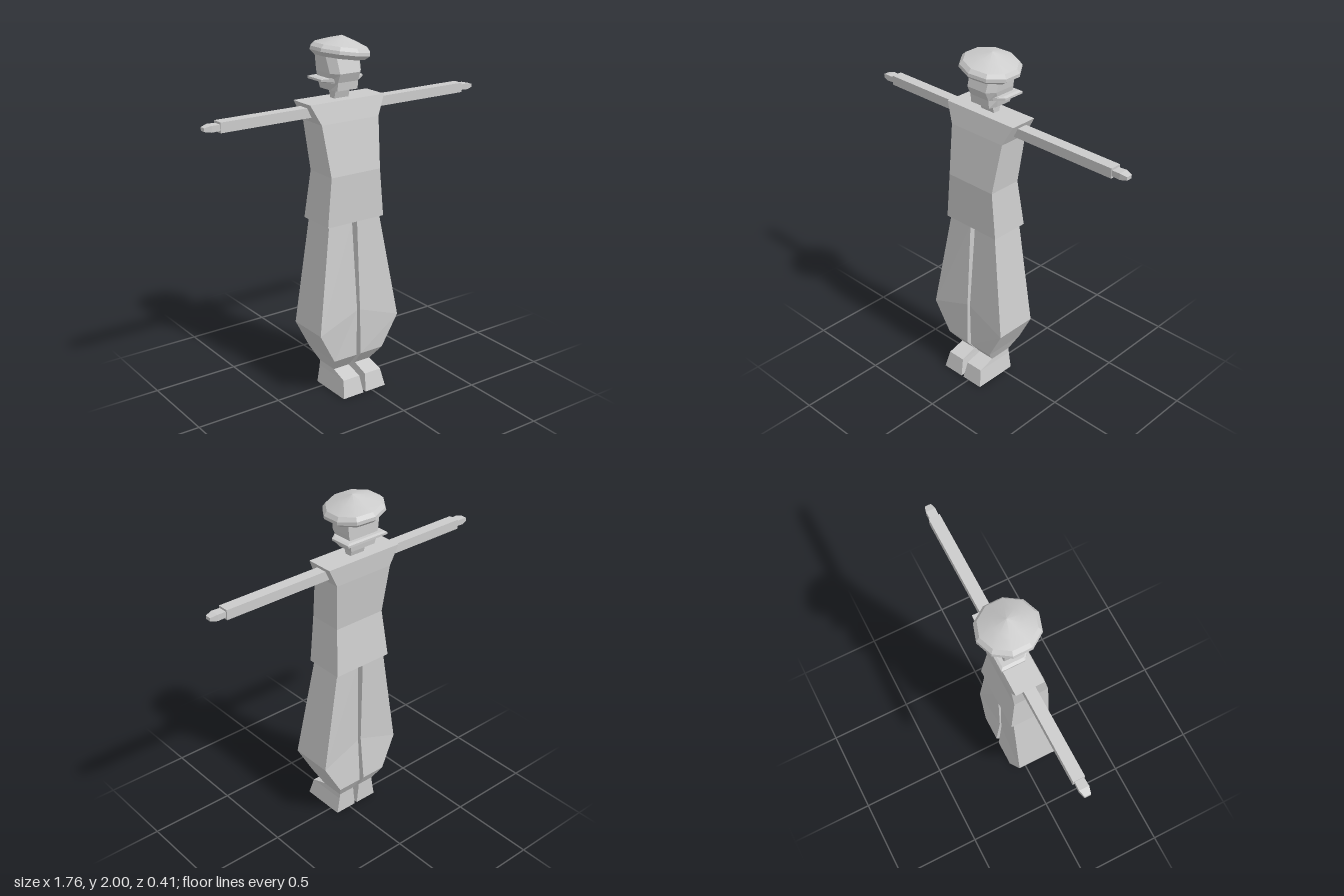
import * as THREE from 'three';

const MID = -0.05; // the body's plane of symmetry

const flat = () => new THREE.MeshStandardMaterial({ color: 0xcccccc, flatShading: true, side: THREE.DoubleSide });
const smooth = () => new THREE.MeshStandardMaterial({ color: 0xcccccc, side: THREE.DoubleSide });

// Closed skin over rings of equal point count, with end caps
function loft(name, rings) {
  const n = rings[0].length, index = [], last = (rings.length - 1) * n;
  for (let r = 0; r < rings.length - 1; r++) {
    for (let i = 0; i < n; i++) {
      const a = r * n + i, b = r * n + (i + 1) % n;
      index.push(a, b, b + n, a, b + n, a + n);
    }
  }
  for (let i = 1; i < n - 1; i++) {
    index.push(0, i + 1, i, last, last + i, last + i + 1);
  }
  const geo = new THREE.BufferGeometry();
  geo.setAttribute('position', new THREE.Float32BufferAttribute(rings.flat(2), 3));
  geo.setIndex(index);
  const out = geo.toNonIndexed();
  out.computeVertexNormals();
  const mesh = new THREE.Mesh(out, flat());
  mesh.name = name;
  return mesh;
}

// Level rectangle, counter-clockwise from above
const rect = (y, x0, x1, z0, z1) => [[x0, y, z1], [x1, y, z1], [x1, y, z0], [x0, y, z0]];
// Upright rectangle across the arm, counter-clockwise from +x
const slice = (x, y0, y1, z0, z1) => [[x, y0, z1], [x, y0, z0], [x, y1, z0], [x, y1, z1]];
// Rings reflected in the plane x = c
const mirror = (rings, c) => rings.map(r => r.map(([x, y, z]) => [2 * c - x, y, z]).reverse());

export function createModel() {
  const model = new THREE.Group();
  model.name = 'figure';

  // Tunic
  model.add(loft('torso', [
    rect(1.005, -0.235, 0.135, -0.11, 0.12),
    rect(1.28, -0.21, 0.11, -0.08, 0.12),
    rect(1.56, -0.235, 0.135, -0.11, 0.07),
    rect(1.67, -0.29, 0.19, -0.115, 0.045),
  ]));

  // Baggy trousers, the knee ring rising toward the inside
  const leg = [
    rect(0.13, -0.03, 0.075, -0.06, 0.08),
    rect(0.215, -0.035, 0.115, -0.11, 0.145),
    [[-0.04, 0.49, 0.145], [0.215, 0.4, 0.157], [0.215, 0.4, -0.095], [-0.04, 0.49, -0.087]],
    rect(1.01, -0.033, 0.118, -0.09, 0.105),
  ];
  // Shoes, the upper sloping down to the toe
  const shoe = [
    rect(0, -0.042, 0.095, -0.06, 0.205),
    rect(0.1, -0.03, 0.078, -0.06, 0.18),
    rect(0.13, -0.028, 0.075, -0.06, 0.08),
  ];
  // Arms and tapered hands
  const arm = [slice(0.13, 1.59, 1.645, -0.067, -0.003), slice(0.792, 1.59, 1.645, -0.067, -0.003)];
  const hand = [
    slice(0.785, 1.602, 1.633, -0.058, -0.008),
    slice(0.84, 1.6, 1.635, -0.06, -0.006),
    slice(0.878, 1.607, 1.626, -0.05, -0.015),
  ];
  model.add(loft('leftLeg', leg), loft('rightLeg', mirror(leg, MID)));
  model.add(loft('leftShoe', shoe), loft('rightShoe', mirror(shoe, MID)));
  // The right arm reaches further into the offset body
  const rightArm = mirror(arm, 0);
  rightArm[0].forEach(p => { p[0] = -0.22; });
  model.add(loft('leftArm', arm), loft('rightArm', rightArm));
  model.add(loft('leftHand', hand), loft('rightHand', mirror(hand, 0)));

  // Neck
  model.add(loft('neck', [
    rect(1.66, -0.096, -0.004, -0.052, -0.018),
    rect(1.73, -0.096, -0.004, -0.072, 0.002),
  ]));

  // Head with a narrower face plane
  const headRing = (y, face, side, front, back) => [
    [MID - face, y, front], [MID + face, y, front], [MID + side, y, front - 0.045],
    [MID + side, y, back], [MID - side, y, back], [MID - side, y, front - 0.045],
  ];
  model.add(loft('head', [
    headRing(1.72, 0.065, 0.08, 0.042, -0.1),
    headRing(1.765, 0.065, 0.09, 0.046, -0.105),
    headRing(1.815, 0.065, 0.1, 0.068, -0.105),
    headRing(1.9, 0.07, 0.108, 0.042, -0.105),
    headRing(1.93, 0.07, 0.108, 0.04, -0.105),
  ]));

  // Thin flared fringe of hair round the sides and back
  const fringe = (y, w, back) => [
    [MID - 0.08, y, 0.03], [MID + 0.08, y, 0.03], [MID + w, y, -0.01],
    [MID + w, y, back], [MID - w, y, back], [MID - w, y, -0.01],
  ];
  model.add(loft('hairFringe', [
    fringe(1.764, 0.118, -0.125), fringe(1.77, 0.134, -0.138),
    fringe(1.782, 0.134, -0.138), fringe(1.788, 0.118, -0.125),
  ]));

  // Tilted cap: faceted rim and smooth crown
  const cap = new THREE.Group();
  cap.name = 'cap';
  const turn = (name, profile, material) => {
    const points = profile.map(([r, y]) => new THREE.Vector2(r, y));
    const mesh = new THREE.Mesh(new THREE.LatheGeometry(points, 10), material);
    mesh.name = name;
    cap.add(mesh);
  };
  turn('capRim', [[0, -0.032], [0.14, -0.032], [0.168, -0.008], [0.166, 0.01], [0.148, 0.03]], flat());
  turn('capCrown', [[0.148, 0.03], [0.075, 0.058], [0, 0.081]], smooth());
  cap.position.set(-0.045, 1.92, -0.033);
  cap.rotation.z = -0.15;
  model.add(cap);

  return model;
}
